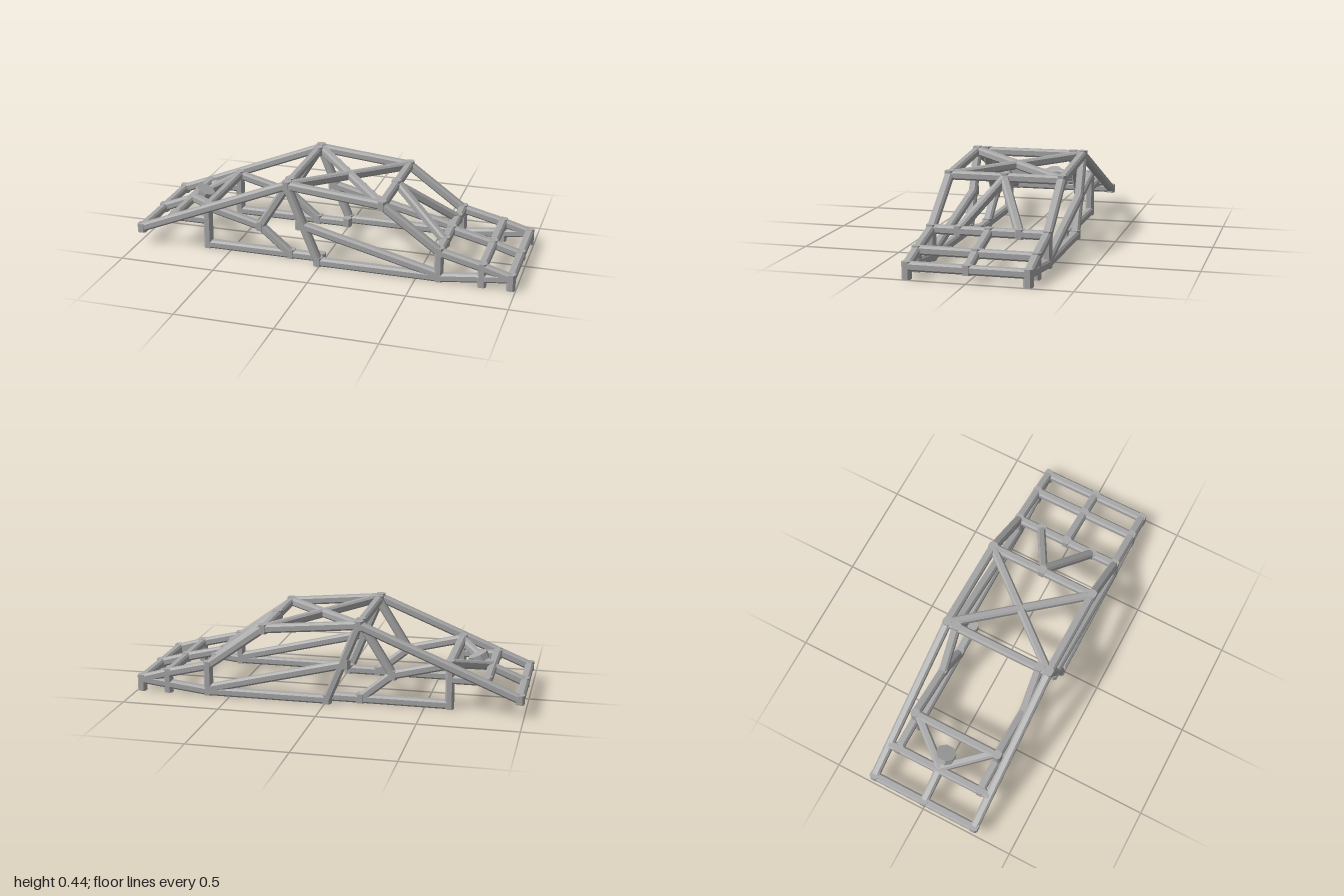
import * as THREE from 'three';

const steel = new THREE.MeshStandardMaterial({ color: 0xa8a8a8 });
steel.name = 'grey steel';

const W = 0.043; // beam width
const OUT = 0.288, IN = 0.236; // half spacing of the outer and inner side frames

// Square section with chamfered corners
function section(w) {
  const h = w / 2, c = w * 0.28;
  return new THREE.Shape([
    [h, -c], [h, c], [c, h], [-c, h], [-h, c], [-h, -c], [-c, -h], [c, -h],
  ].map(([x, y]) => new THREE.Vector2(x, y)));
}

export function createModel() {
  const model = new THREE.Group();
  model.name = 'tubeFrameChassis';

  // Beam between two points
  function beam(name, a, b, w = W) {
    const from = new THREE.Vector3(...a), to = new THREE.Vector3(...b);
    const geo = new THREE.ExtrudeGeometry(section(w), { depth: from.distanceTo(to), bevelEnabled: false });
    const mesh = new THREE.Mesh(geo, steel);
    mesh.name = name;
    mesh.position.copy(from);
    mesh.lookAt(to);
    model.add(mesh);
  }

  // Short upright sleeve where beams meet
  function joint(x, y, z) {
    beam('joint', [x, y - 0.0235, z], [x, y + 0.0235, z], W + 0.002);
  }

  // Beams through a list of x,y points in one side plane
  function run(name, z, points) {
    for (let i = 1; i < points.length; i++) beam(name, [...points[i - 1], z], [...points[i], z]);
  }

  const tail = [-0.977, 0.09], roofRear = [-0.172, 0.417], roofFront = [0.32, 0.37];
  const cowl = [0.615, 0.157], noseMid = [0.832, 0.104], nose = [0.975, 0.062];
  const sill = [-0.01, 0.0215], sillFront = [0.615, 0.0215];

  for (const s of [1, -1]) {
    // Outer side frame
    const z = s * OUT;
    run('upperRail', z, [tail, roofRear, roofFront, cowl, noseMid, nose]);
    run('doorPillar', z, [roofRear, sill]);
    run('doorBar', z, [[-0.105, 0.213], [0.615, 0.035]]);
    run('lowerRail', z, [sill, sillFront, nose]);
    run('cowlPost', z, [[0.615, 0], [0.615, 0.175]]);
    run('nosePost', z, [[0.832, 0], [0.832, 0.126]]);
    run('bumperPost', z, [[0.975, 0], [0.975, 0.085]]);
    for (const p of [tail, roofRear, roofFront, cowl, [-0.105, 0.213], [-0.01, 0.0235]]) joint(...p, z);

    // Inner rear frame
    const zi = s * IN;
    run('rearShelf', zi, [[-0.83, 0.155], [-0.625, 0.155]]);
    run('rearPost', zi, [[-0.625, 0], [-0.625, 0.252]]);
    run('rearLowerRail', zi, [[-0.625, 0.0215], sill]);
    run('rearBrace', zi, [[-0.625, 0.23], [-0.335, 0.157], [-0.172, 0.0215]]);
    run('roofBrace', zi, [[-0.335, 0.157], roofRear]);
    for (const p of [[-0.335, 0.157], [-0.172, 0.0235], [-0.01, 0.0235], roofRear, [-0.81, 0.157]]) joint(...p, zi);
    beam('sillLink', [...sill, zi], [...sill, z], 0.034);

    // Roof cross, windscreen brace and rear diagonal
    beam('roofCross', [...roofRear, z], [...roofFront, -z]);
    beam('windscreenBrace', [0.335, 0.365, 0], [...cowl, s * 0.152]);
    joint(...cowl, s * 0.152);
    beam('rearDiagonal', [-0.8, 0.165, 0], [-0.625, 0.23, s * 0.215]);
  }

  // Cross members
  for (const p of [tail, [-0.81, 0.16], roofRear, roofFront, cowl, noseMid, nose]) {
    beam('crossMember', [...p, -OUT], [...p, OUT]);
  }
  beam('rearCrossMember', [-0.625, 0.23, -IN], [-0.625, 0.23, IN]);

  // Centre spines
  run('noseSpine', 0, [cowl, noseMid, nose]);
  run('tailSpine', 0, [tail, [-0.8, 0.163]]);
  for (const p of [cowl, noseMid, nose, tail, roofFront]) joint(...p, 0);

  // Tilted octagonal mounting pad at the rear
  const padGeo = new THREE.CylinderGeometry(0.053, 0.053, 0.036, 8).rotateY(Math.PI / 8).toNonIndexed();
  padGeo.computeVertexNormals();
  const pad = new THREE.Mesh(padGeo, steel);
  pad.name = 'mountingPad';
  pad.position.set(-0.738, 0.206, 0);
  pad.rotation.z = -0.43;
  model.add(pad);

  return model;
}
